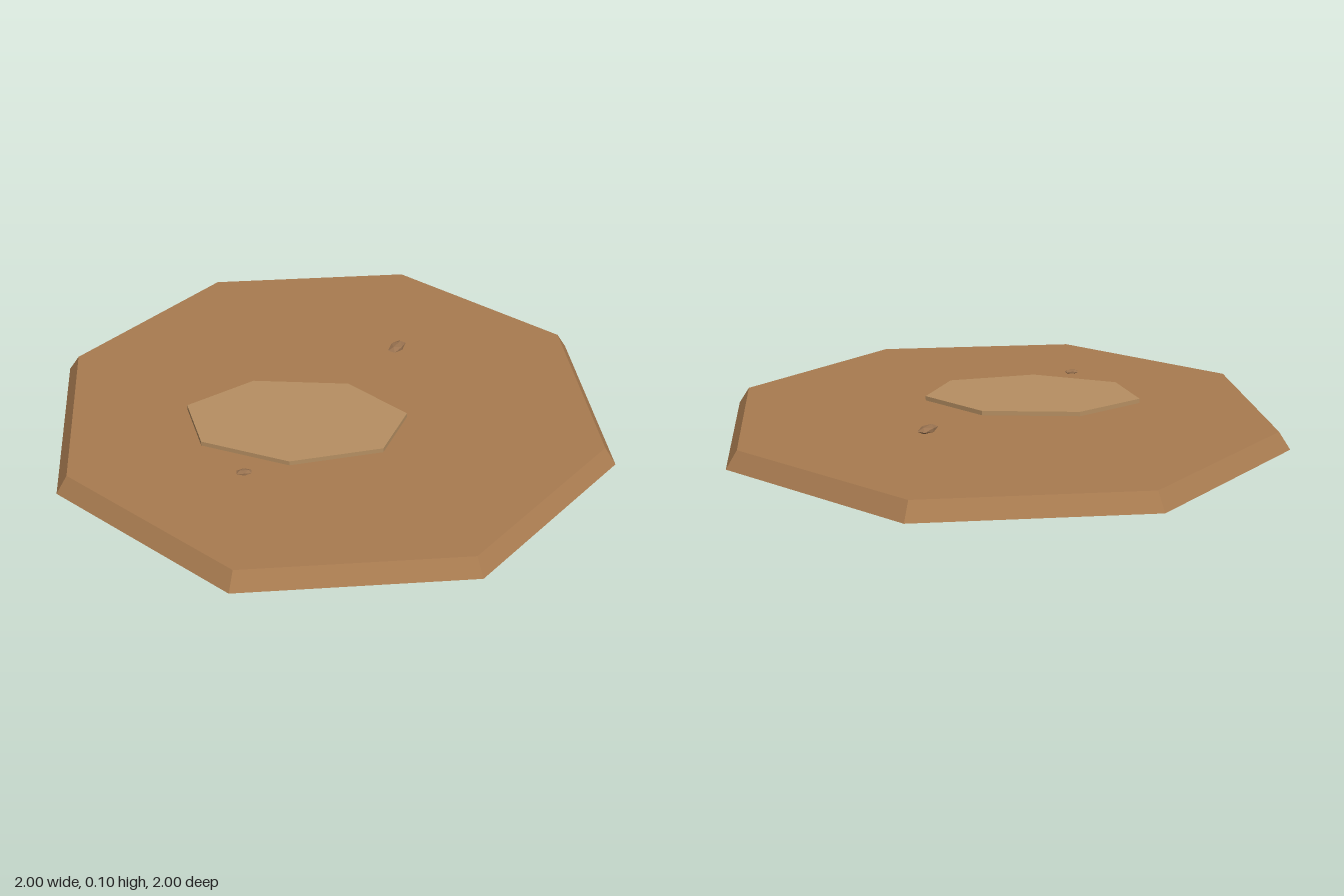
import * as THREE from 'three';

function part(name, geometry, color) {
  const mesh = new THREE.Mesh(geometry, new THREE.MeshStandardMaterial({ color, flatShading: true }));
  mesh.name = name;
  return mesh;
}

export function createModel() {
  const group = new THREE.Group();
  group.name = 'dirtPatch';

  // Eight-sided slab of ground with sloping edges, turned a sixteenth of a turn
  const slab = part('groundSlab', new THREE.CylinderGeometry(0.979, 1.0196, 0.06, 8, 1, false, Math.PI / 16), 0xa87b50);
  slab.position.y = 0.03;
  group.add(slab);

  // Thin irregular seven-sided raised patch, outlined as x, -z
  const outline = [[-0.497, 0.085], [-0.497, -0.147], [-0.24, -0.342], [0.084, -0.358],
    [0.228, -0.18], [0.088, 0.06], [-0.235, 0.175]].map(([x, y]) => new THREE.Vector2(x, y));
  const patchGeometry = new THREE.ExtrudeGeometry(new THREE.Shape(outline), { depth: 0.016, bevelEnabled: false });
  patchGeometry.rotateX(-Math.PI / 2);
  const patch = part('raisedPatch', patchGeometry, 0xb68f62);
  patch.position.y = 0.061;
  group.add(patch);

  // Small flattened pebbles: position, half sizes, turn about y
  const pebbles = [
    ['largePebble', [0.331, 0.087, -0.239], [0.05, 0.013, 0.027], 0.75],
    ['smallPebble', [-0.397, 0.073, 0.352], [0.029, 0.008, 0.018], -0.15],
  ];
  for (const [name, position, size, turn] of pebbles) {
    const pebble = part(name, new THREE.IcosahedronGeometry(1, 0), 0x9a7350);
    pebble.position.set(...position);
    pebble.scale.set(...size);
    pebble.rotation.y = turn;
    group.add(pebble);
  }
  return group;
}
